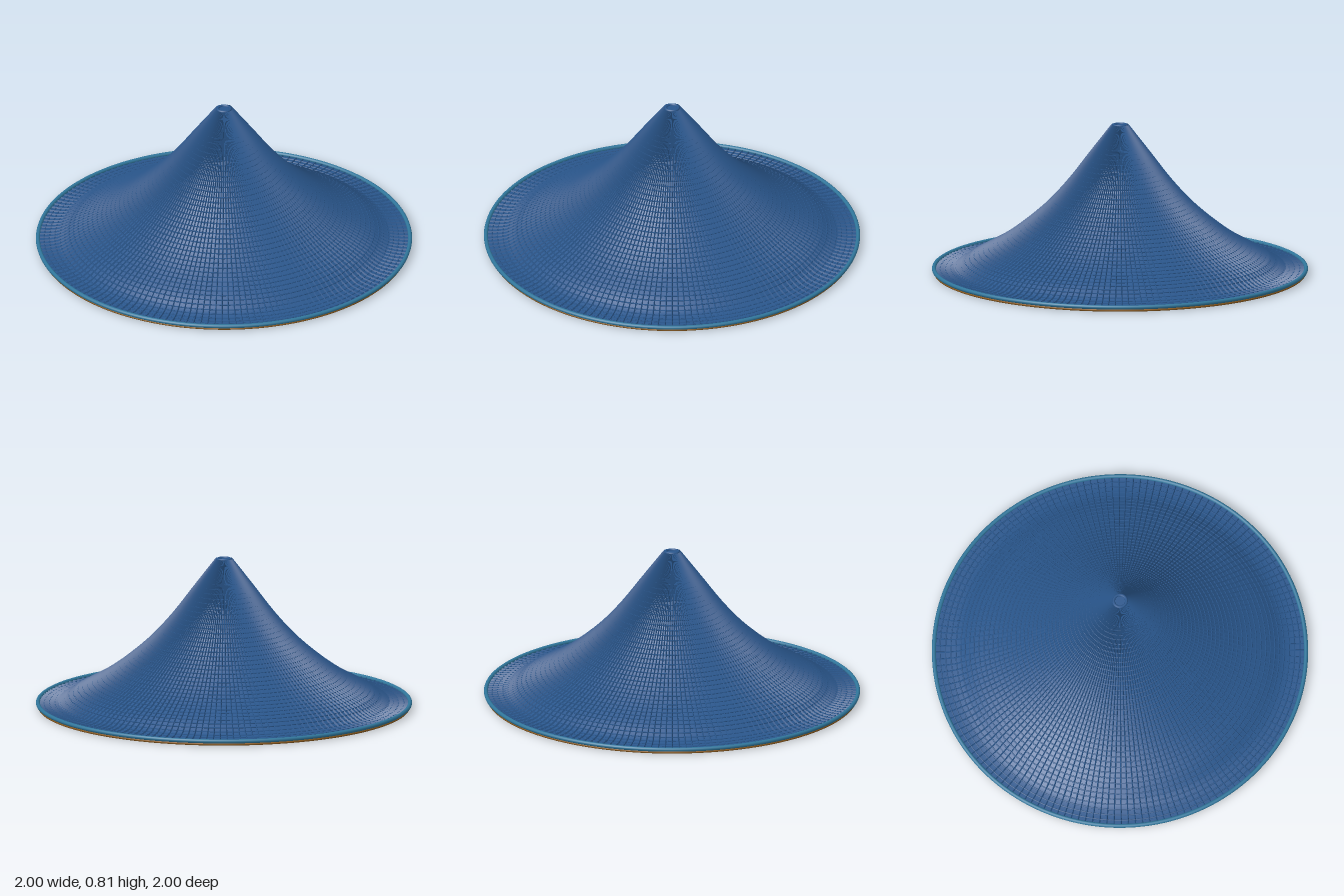
import * as THREE from 'three';
import { mergeGeometries } from 'three/addons/utils/BufferGeometryUtils.js';

const material = (name, color) => {
  const m = new THREE.MeshStandardMaterial({ color });
  m.name = name;
  return m;
};

export function createModel() {
  const hat = new THREE.Group();
  hat.name = 'conicalHat';

  const blue = material('strawBlue', 0x29568c);
  const teal = material('rimTeal', 0x30769b);
  const amber = material('bindingAmber', 0x8a5a1e);

  const add = (name, geometry, mat) => {
    const mesh = new THREE.Mesh(geometry, mat);
    mesh.name = name;
    hat.add(mesh);
    return mesh;
  };
  const addFlat = (name, geometry, mat, y, tilt = Math.PI / 2) => {
    const mesh = add(name, geometry, mat);
    mesh.rotation.x = tilt;
    mesh.position.y = y;
  };

  // Flared cone profile, from the brim up to the tip
  const curve = new THREE.SplineCurve([
    [0.985, 0.02], [0.92, 0.022], [0.86, 0.036], [0.79, 0.085], [0.65, 0.162],
    [0.53, 0.247], [0.39, 0.368], [0.27, 0.501], [0.16, 0.646], [0.04, 0.803],
  ].map(([r, y]) => new THREE.Vector2(r, y)));

  add('coneShell', new THREE.LatheGeometry(curve.getSpacedPoints(32), 160), blue);

  // Slim ridge running up the cone: two steep faces meeting at a crest
  const segments = 24, width = 0.008, height = 0.008;
  const ridge = new THREE.PlaneGeometry(width, 1, 2, segments);
  const pos = ridge.attributes.position;
  for (let i = 0; i < pos.count; i++) {
    const u = 1 - Math.floor(i / 3) / segments;
    const lift = i % 3 === 1 ? height : -0.001;
    const p = curve.getPointAt(u), t = curve.getTangentAt(u);
    pos.setY(i, p.y - t.x * lift);
    pos.setZ(i, p.x + t.y * lift);
  }
  const facetedRidge = ridge.toNonIndexed();
  facetedRidge.computeVertexNormals();
  const ridges = [];
  for (let i = 0; i < 160; i++) {
    ridges.push(facetedRidge.clone().rotateY(i * Math.PI * 2 / 160));
  }
  add('radialWeave', mergeGeometries(ridges), blue);

  // Thin hoops woven around the cone
  const hoops = [];
  for (let i = 1; i < 44; i++) {
    const p = curve.getPointAt(i / 44);
    const hoop = new THREE.TorusGeometry(p.x, 0.004, 5, 120);
    hoops.push(hoop.rotateX(Math.PI / 2).translate(0, p.y + 0.001, 0));
  }
  add('wovenHoops', mergeGeometries(hoops), blue);

  // Tip ring and its flat top
  addFlat('tipRing', new THREE.TorusGeometry(0.034, 0.008, 8, 40), blue, 0.804);
  addFlat('tipDisc', new THREE.CircleGeometry(0.034, 32), blue, 0.804, -Math.PI / 2);

  // Brim edge and the binding below it
  addFlat('rim', new THREE.TorusGeometry(0.989, 0.011, 10, 160), teal, 0.025);
  addFlat('binding', new THREE.TorusGeometry(0.983, 0.007, 8, 160), amber, 0.008);

  // Closed underside
  addFlat('underside', new THREE.CircleGeometry(0.984, 160), blue, 0.003);

  return hat;
}
